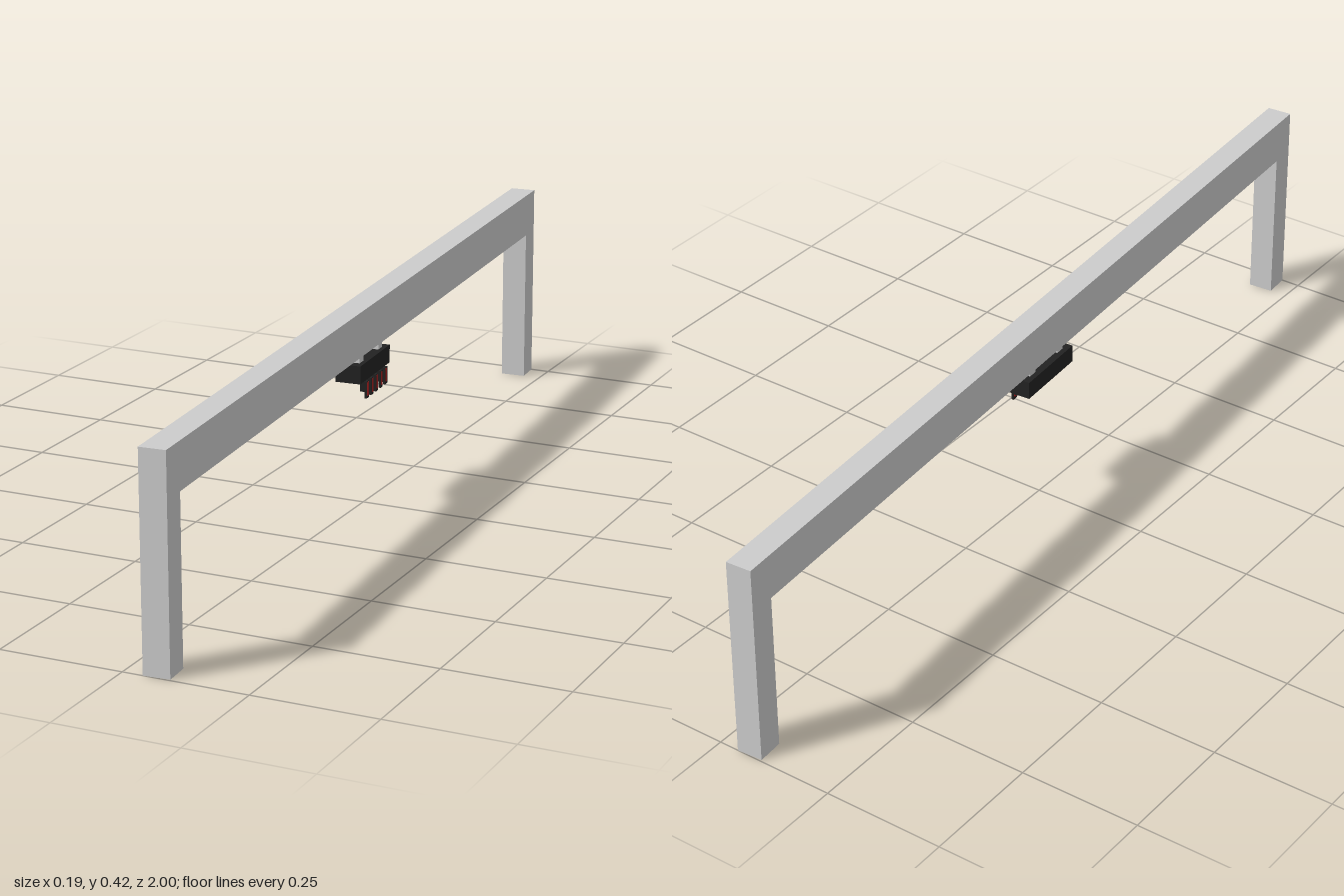
import * as THREE from 'three';

const grey = new THREE.MeshStandardMaterial({ color: 0xcccccc });
const black = new THREE.MeshStandardMaterial({ color: 0x222222 });
const red = new THREE.MeshStandardMaterial({ color: 0xa02020 });

// Box given by its [min, max] range on each axis
function box(name, [x0, x1], [y0, y1], [z0, z1], material) {
  const mesh = new THREE.Mesh(new THREE.BoxGeometry(x1 - x0, y1 - y0, z1 - z0), material);
  mesh.position.set((x0 + x1) / 2, (y0 + y1) / 2, (z0 + z1) / 2);
  mesh.name = name;
  return mesh;
}

export function createModel() {
  const model = new THREE.Group();
  model.name = 'gantry';

  // Portal frame: one extruded outline of beam and two legs
  const L = 1.0005, legDepth = 0.055, width = 0.053, under = 0.33, top = 0.422;
  const outline = new THREE.Shape([
    [-L, 0], [-L + legDepth, 0], [-L + legDepth, under], [L - legDepth, under],
    [L - legDepth, 0], [L, 0], [L, top], [-L, top],
  ].map(([x, y]) => new THREE.Vector2(x, y)));
  const frameGeometry = new THREE.ExtrudeGeometry(outline, { depth: width, bevelEnabled: false });
  frameGeometry.translate(0, 0, -width / 2).rotateY(Math.PI / 2);
  const frame = new THREE.Mesh(frameGeometry, grey);
  frame.name = 'portalFrame';
  model.add(frame);

  // Hangers and the sensor housing below the beam
  for (const z of [-0.05, 0.053]) {
    model.add(box('hanger', [-0.016, 0.017], [0.312, under], [z - 0.01, z + 0.01], grey));
  }
  model.add(box('housing', [-0.027, 0.026], [0.275, 0.312], [-0.081, 0.083], black));

  // Row of five stepped prongs with red side strips
  for (let i = 0; i < 5; i++) {
    const z = 0.054 - i * 0.0255;
    const prong = new THREE.Group();
    prong.name = 'prong';
    prong.add(
      box('prongBody', [0.016, 0.029], [0.253, 0.275], [z - 0.006, z + 0.006], black),
      box('prongTip', [0.026, 0.031], [0.24, 0.275], [z - 0.006, z + 0.006], black),
      box('prongStrip', [0.0155, 0.0315], [0.254, 0.273], [z - 0.004, z + 0.004], red),
      box('tipStrip', [0.0255, 0.0315], [0.245, 0.254], [z - 0.004, z + 0.004], red),
    );
    model.add(prong);
  }

  // The whole gantry stands slightly askew
  model.rotation.y = 0.0675;
  return model;
}
